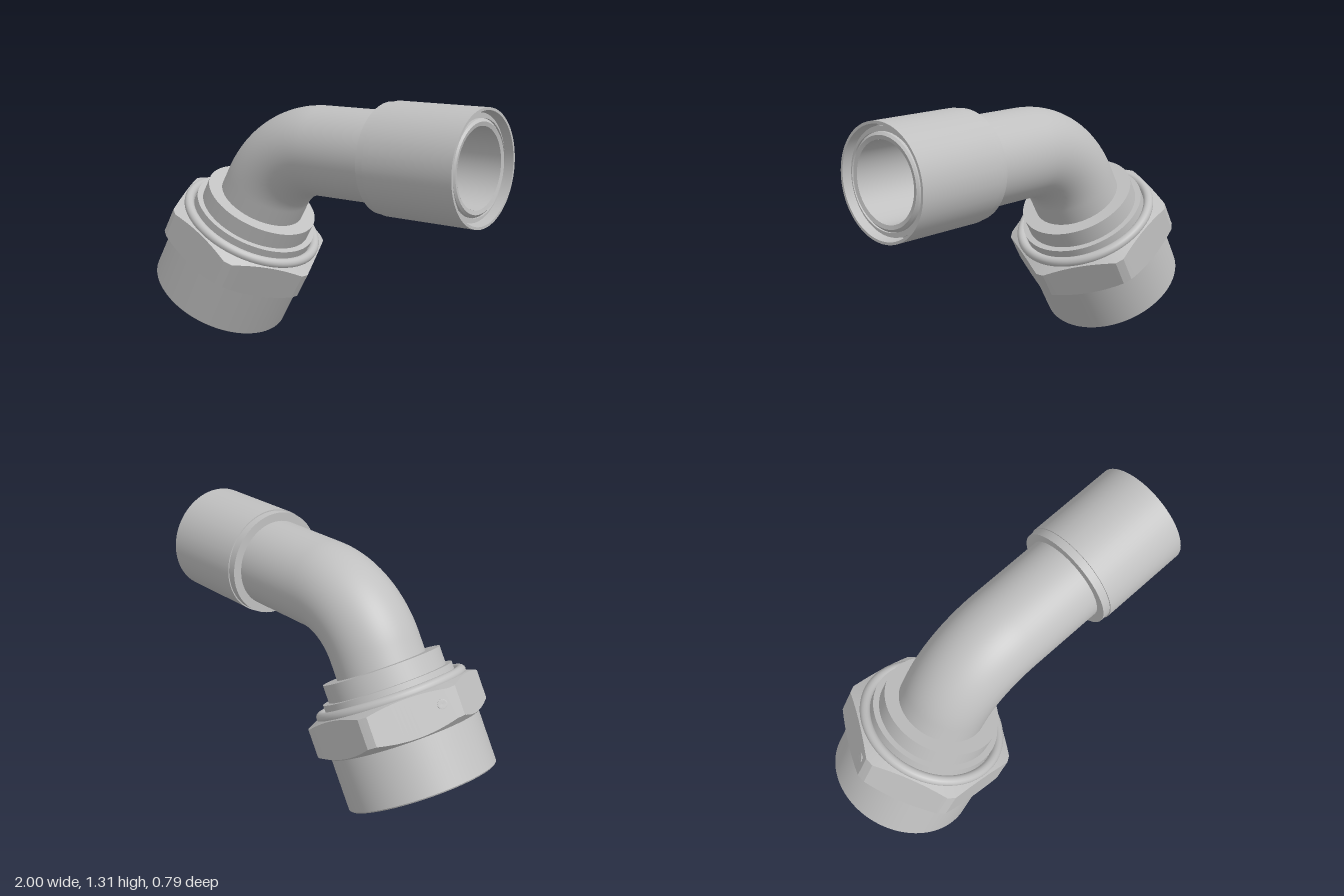
import * as THREE from 'three';
import { toCreasedNormals } from 'three/addons/utils/BufferGeometryUtils.js';

const metal = new THREE.MeshStandardMaterial({ color: 0xc0c0c0, side: THREE.DoubleSide });
metal.name = 'greyMetal';

const AXIS_Y = 1.04;           // height of the horizontal pipe axis
const BEND_X = 0.07;           // where the bend begins
const BEND_R = 0.437;          // centre-line radius of the bend
const BEND = Math.PI / 3;      // 60 degree elbow
const PIPE_END = 0.975;

function add(parent, name, geometry) {
  const mesh = new THREE.Mesh(geometry, metal);
  mesh.name = name;
  parent.add(mesh);
  return mesh;
}

// Turned part from [radius, height] points, with sharp edges kept
function turned(points, segments = 96) {
  const profile = points.map(([r, y]) => new THREE.Vector2(r, y));
  return toCreasedNormals(new THREE.LatheGeometry(profile, segments), 0.35);
}

// Straight, arc, straight centre line
class ElbowCurve extends THREE.Curve {
  getPoint(t, target = new THREE.Vector3()) {
    const top = PIPE_END - BEND_X, arc = BEND_R * BEND, leg = 0.35;
    const d = t * (top + arc + leg);
    if (d < top) return target.set(PIPE_END - d, AXIS_Y, 0);
    const a = Math.min((d - top) / BEND_R, BEND);
    const rest = Math.max(d - top - arc, 0);
    return target.set(
      BEND_X - BEND_R * Math.sin(a) - rest * Math.cos(BEND),
      AXIS_Y - BEND_R * (1 - Math.cos(a)) - rest * Math.sin(BEND), 0);
  }
}

// Hexagon with clipped corners and conical chamfers
function hexNut() {
  const rows = [[0.3, 0.272], [0.383, 0.272], [0.4, 0.3], [0.4, 0.45], [0.375, 0.478], [0.3, 0.478]];
  const geo = new THREE.LatheGeometry(rows.map(([r, y]) => new THREE.Vector2(r, y)), 120);
  const p = geo.attributes.position;
  for (let i = 0; i < p.count; i++) {
    const row = i % rows.length;
    if (row !== 2 && row !== 3) continue;
    const phi = Math.atan2(p.getX(i), p.getZ(i));
    const a = phi - Math.round(phi / BEND) * BEND;
    const r = Math.min(0.395 / Math.cos(a), 0.443);
    const y = row === 2 ? 0.272 + (r - 0.383) * 0.55 : 0.478 - (r - 0.375) * 0.4;
    p.setXYZ(i, r * Math.sin(phi), y, r * Math.cos(phi));
  }
  return toCreasedNormals(geo, 0.35);
}

export function createModel() {
  const model = new THREE.Group();
  model.name = 'elbowFitting';

  // Bent pipe, outside and bore
  const path = new ElbowCurve();
  add(model, 'pipeOuter', new THREE.TubeGeometry(path, 120, 0.23, 64));
  add(model, 'pipeBore', new THREE.TubeGeometry(path, 120, 0.195, 64));

  // Sleeve around the horizontal end, turned about the x axis
  const sleeve = new THREE.Group();
  sleeve.name = 'sleeve';
  sleeve.position.y = AXIS_Y;
  sleeve.rotation.z = -Math.PI / 2;
  model.add(sleeve);
  add(sleeve, 'sleeveShell', turned([
    [0.225, 0.47], [0.275, 0.47], [0.275, 0.513], [0.281, 0.513], [0.281, 1],
    [0.268, 1], [0.268, 0.9], [0.225, 0.9],
  ]));
  add(sleeve, 'gripRing', turned([[0.255, 0.9], [0.255, 0.96], [0.228, 0.96]]));
  add(sleeve, 'pipeMouth', turned([[0.23, 0.965], [0.215, 0.98], [0.195, 0.975]]));

  // Tilted union: y runs up along the lower axis
  const union = new THREE.Group();
  union.name = 'unionNut';
  union.position.set(-0.67, 0.195, 0);
  union.rotation.z = -Math.PI / 6;
  model.add(union);
  add(union, 'nutBody', turned([
    [0.195, 0.3], [0.342, 0.3], [0.342, 0.015], [0.355, 0], [0.376, 0],
    [0.383, 0.007], [0.383, 0.285],
  ]));
  add(union, 'hexNut', hexNut());
  add(union, 'collar', turned([
    [0.335, 0.44], [0.335, 0.537], [0.304, 0.537], [0.304, 0.629], [0.225, 0.629],
  ]));
  const ring = add(union, 'retainingRing', new THREE.TorusGeometry(0.362, 0.026, 16, 96));
  ring.rotation.x = Math.PI / 2;
  ring.position.y = 0.484;

  // Small round mark on the back flat of the hexagon
  const mark = add(union, 'witnessMark', turned([[0.024, 0], [0.024, 0.004], [0.017, 0.005], [0.001, 0.002]], 24));
  const normal = new THREE.Vector3(-Math.cos(Math.PI / 6), 0, -0.5);
  mark.position.set(-0.418, 0.39, -0.066);
  mark.quaternion.setFromUnitVectors(new THREE.Vector3(0, 1, 0), normal);

  return model;
}
